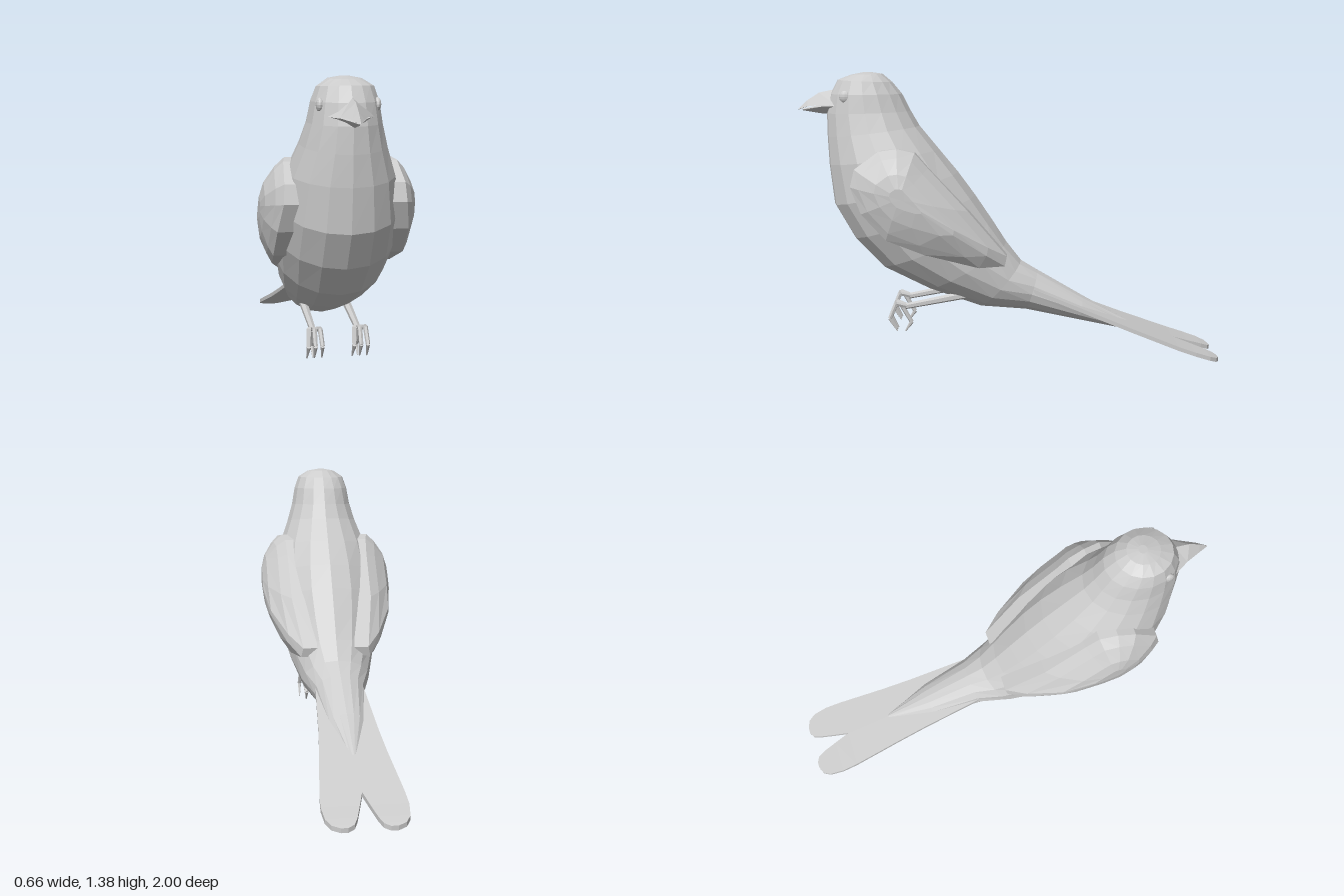
import * as THREE from 'three';

const material = new THREE.MeshStandardMaterial({ color: 0xcccccc, flatShading: true, side: THREE.DoubleSide });

// Closed skin over a list of equal-length point rings, capped at both ends, always facing outward
function loft(name, rings) {
  const n = rings[0].length, pos = rings.flat(2), index = [];
  rings.forEach((ring, i) => {
    for (let j = 0; j < n && i < rings.length - 1; j++) {
      const a = i * n + j, b = i * n + (j + 1) % n;
      index.push(a, a + n, b, b, a + n, b + n);
    }
  });
  [0, rings.length - 1].forEach((r, end) => {
    const mid = [0, 1, 2].map(k => rings[r].reduce((s, p) => s + p[k], 0) / n);
    const m = pos.length / 3;
    pos.push(...mid);
    for (let j = 0; j < n; j++) {
      const a = r * n + j, b = r * n + (j + 1) % n;
      index.push(m, ...(end ? [b, a] : [a, b]));
    }
  });
  // a negative volume means the skin is inside out
  const at = i => new THREE.Vector3().fromArray(pos, i * 3);
  let volume = 0;
  for (let i = 0; i < index.length; i += 3)
    volume += at(index[i]).dot(at(index[i + 1]).cross(at(index[i + 2])));
  if (volume < 0) index.reverse();
  const g = new THREE.BufferGeometry();
  g.setAttribute('position', new THREE.Float32BufferAttribute(pos, 3));
  g.setIndex(index);
  const flat = g.toNonIndexed();
  flat.computeVertexNormals();
  const mesh = new THREE.Mesh(flat, material);
  mesh.name = name;
  return mesh;
}

// Chain of tapered rods through points [x, y, z, radius]
function rods(name, points) {
  const group = new THREE.Group();
  group.name = name;
  for (let i = 1; i < points.length; i++) {
    const a = new THREE.Vector3(...points[i - 1]), b = new THREE.Vector3(...points[i]);
    const dir = b.clone().sub(a);
    const rod = new THREE.Mesh(new THREE.CylinderGeometry(points[i][3], points[i - 1][3], dir.length(), 6), material);
    rod.position.copy(a).add(b).multiplyScalar(0.5);
    rod.quaternion.setFromUnitVectors(new THREE.Vector3(0, 1, 0), dir.normalize());
    rod.name = name + 'Segment';
    group.add(rod);
  }
  return group;
}

// Head, breast and rump: tilted ellipses [back z, back y, front z, front y, half width]
function body() {
  const sections = [
    [0.65, 1.38, 0.69, 1.38, 0.02], [0.60, 1.373, 0.75, 1.368, 0.07], [0.555, 1.335, 0.81, 1.345, 0.118],
    [0.51, 1.28, 0.845, 1.28, 0.14], [0.47, 1.2, 0.865, 1.19, 0.155], [0.43, 1.13, 0.865, 1.08, 0.182],
    [0.34, 1.02, 0.86, 0.95, 0.228], [0.25, 0.91, 0.84, 0.76, 0.255], [0.17, 0.8, 0.75, 0.6, 0.26],
    [0.09, 0.68, 0.62, 0.46, 0.24], [0.02, 0.57, 0.4, 0.35, 0.21], [-0.05, 0.48, 0.15, 0.26, 0.165],
    [-0.13, 0.43, -0.07, 0.24, 0.12], [-0.35, 0.3, -0.33, 0.185, 0.085], [-0.57, 0.178, -0.55, 0.135, 0.02],
  ];
  return loft('body', sections.map(([bz, by, fz, fy, w]) => Array.from({ length: 16 }, (_, j) => {
    const t = j * Math.PI / 8, c = Math.cos(t);
    return [w * Math.sin(t), (by + fy) / 2 + (fy - by) / 2 * c, (bz + fz) / 2 + (fz - bz) / 2 * c];
  })));
}

// Folded wing: rim [x, y, z] set into the body, doming up to the centre
function wing(s) {
  const rim = [
    [0.24, 1.03, 0.60], [0.225, 1.04, 0.52], [0.21, 1.02, 0.44], [0.205, 0.95, 0.38], [0.2, 0.75, 0.2],
    [0.16, 0.53, 0.02], [0.17, 0.485, 0.03], [0.21, 0.485, 0.15], [0.265, 0.56, 0.4], [0.28, 0.63, 0.57],
    [0.275, 0.75, 0.68], [0.255, 0.87, 0.73], [0.25, 0.95, 0.71],
  ];
  const centre = [0.333, 0.83, 0.5];
  const dome = k => rim.map(p => p.map((v, i) => centre[i] + (v - centre[i]) * (i ? k : k ** 2.4)));
  const rings = [rim.map(([x, y, z]) => [x * 0.5, y, z]), rim, dome(0.82), dome(0.5), dome(0.2)];
  return loft(s > 0 ? 'leftWing' : 'rightWing', rings.map(r => r.map(([x, y, z]) => [s * x, y, z])));
}

// One side of the forked tail: rows [z, inner x, outer x, y]
function tailHalf(s) {
  const rows = [
    [0.1, 0, 0.1, 0.42], [-0.1, 0, 0.115, 0.352], [-0.4, 0, 0.135, 0.233], [-0.56, 0, 0.15, 0.17],
    [-0.8, 0, 0.177, 0.08], [-0.88, 0.022, 0.181, 0.053], [-0.95, 0.042, 0.172, 0.03],
    [-0.985, 0.058, 0.15, 0.017], [-1, 0.085, 0.115, 0.01],
  ];
  return loft(s > 0 ? 'leftTail' : 'rightTail', rows.map(([z, a, b, y]) =>
    [[s * a, y + 0.01, z], [s * b, y + 0.01, z], [s * b, y - 0.01, z], [s * a, y - 0.01, z]]));
}

// Half of the beak: sections [half width, corner y, corner z, ridge y, inner y, ridge z]
function mandible(name, sections) {
  return loft(name, sections.map(([w, cy, cz, ry, iy, rz]) =>
    [[0, ry, rz], [w, cy, cz], [0, iy, rz], [-w, cy, cz]]));
}

// Leg with three curled front toes and one hind toe
function leg(s) {
  const group = new THREE.Group();
  group.name = s > 0 ? 'leftLeg' : 'rightLeg';
  const x = 0.1 * s;
  group.add(rods('shank', [[x, 0.335, 0.2, 0.02], [x, 0.275, 0.51, 0.014]]));
  for (const d of [-0.03, 0, 0.03])
    group.add(rods('frontToe', [[x + d * 0.3, 0.28, 0.5, 0.011], [x + d * 0.8, 0.295, 0.545, 0.011],
      [x + d, 0.225, 0.575, 0.01], [x + d * 1.1, 0.165, 0.54, 0.003]]));
  group.add(rods('hindToe', [[x, 0.28, 0.52, 0.011], [x, 0.2, 0.475, 0.01], [x, 0.155, 0.505, 0.003]]));
  return group;
}

export function createModel() {
  const bird = new THREE.Group();
  bird.name = 'bird';
  bird.add(body());
  bird.add(mandible('upperBeak', [[0.1, 1.225, 0.8, 1.3, 1.235, 0.83],
    [0.055, 1.23, 0.88, 1.285, 1.235, 0.9], [0.025, 1.222, 0.95, 1.25, 1.222, 0.955], [0.002, 1.207, 1, 1.209, 1.205, 1]]));
  bird.add(mandible('lowerBeak', [[0.098, 1.225, 0.8, 1.185, 1.23, 0.83],
    [0.05, 1.222, 0.88, 1.188, 1.23, 0.89], [0.002, 1.207, 0.98, 1.203, 1.21, 0.98]]));
  for (const s of [1, -1]) {
    const eye = new THREE.Mesh(new THREE.SphereGeometry(0.028, 12, 8), material);
    eye.name = s > 0 ? 'leftEye' : 'rightEye';
    eye.scale.x = 0.55;
    eye.position.set(s * 0.116, 1.27, 0.76);
    bird.add(eye, wing(s), tailHalf(s), leg(s));
  }
  return bird;
}
